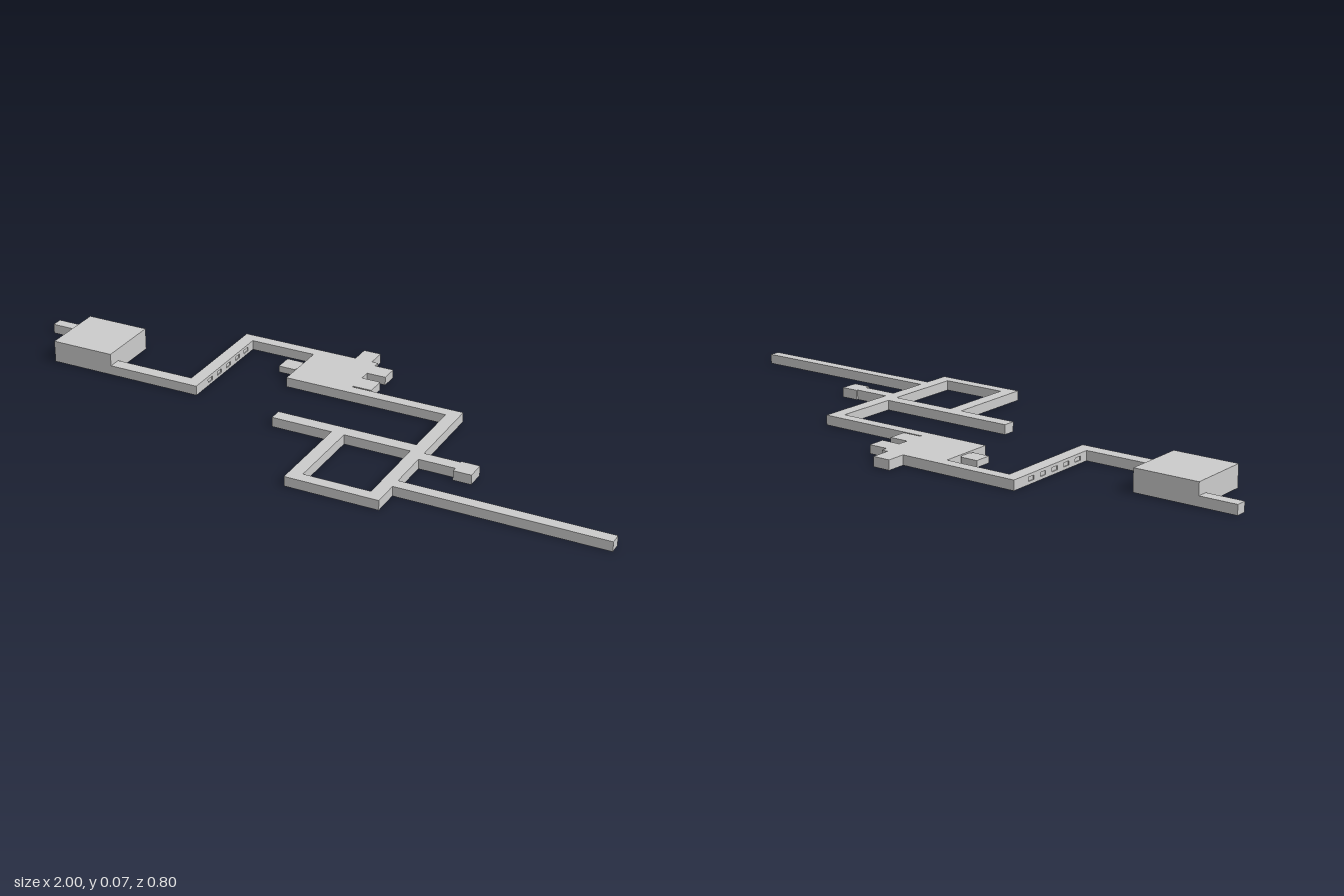
import * as THREE from 'three';

const grey = new THREE.MeshStandardMaterial({ color: 0xcccccc, flatShading: true });
const H = 0.03; // passage height

// Axis-aligned block given by its plan limits and height range
function block(parent, name, x0, x1, z0, z1, top = H, bottom = 0) {
  const mesh = new THREE.Mesh(new THREE.BoxGeometry(x1 - x0, top - bottom, z1 - z0), grey);
  mesh.position.set((x0 + x1) / 2, (top + bottom) / 2, (z0 + z1) / 2);
  mesh.name = name;
  parent.add(mesh);
}

function section(parent, name) {
  const group = new THREE.Group();
  group.name = name;
  parent.add(group);
  return group;
}

export function createModel() {
  const model = new THREE.Group();
  model.name = 'floorLayout';

  // Entrance, tall hall and the passage leading out of it
  const west = section(model, 'westWing');
  block(west, 'entrancePassage', -1, -0.885, -0.16, -0.125);
  block(west, 'tallHall', -0.885, -0.685, -0.16, 0.04, 0.068);
  block(west, 'hallPassage', -0.685, -0.43, 0, 0.04);

  // Gallery with shallow window recesses on both sides
  const gallery = section(model, 'windowGallery');
  block(gallery, 'galleryCore', -0.427, -0.393, -0.305, 0);
  block(gallery, 'galleryFrontCorner', -0.43, -0.39, 0, 0.04);
  for (const [x0, x1] of [[-0.43, -0.427], [-0.393, -0.39]]) {
    block(gallery, 'sill', x0, x1, -0.305, 0, 0.009);
    block(gallery, 'lintel', x0, x1, -0.305, 0, H, 0.021);
    for (let i = 0; i < 6; i++) {
      const z = -0.305 + i * 0.055;
      block(gallery, 'pier', x0, x1, z, z + 0.03, 0.021, 0.009);
    }
  }
  block(gallery, 'northPassage', -0.43, -0.18, -0.34, -0.305);

  // Central room with its small side chambers
  const centre = section(model, 'centralRoom');
  block(centre, 'mainRoom', -0.18, 0.02, -0.34, -0.13);
  block(centre, 'backChamber', -0.055, 0, -0.4, -0.34);
  block(centre, 'leftUpperChamber', 0.02, 0.08, -0.32, -0.265, H, 0.004);
  block(centre, 'leftLowerChamber', 0.02, 0.08, -0.23, -0.17, H, 0.004);
  block(centre, 'rightChamber', -0.24, -0.185, -0.25, -0.195, 0.026, 0.006);
  block(centre, 'rightChamberDoor', -0.185, -0.18, -0.243, -0.203, 0.026, 0.006);

  // Passages and square loop of the east wing
  const east = section(model, 'eastWing');
  block(east, 'roomPassage', 0.02, 0.335, -0.165, -0.13);
  block(east, 'mainPassage', 0.335, 0.375, -0.165, 0.395);
  block(east, 'crossPassage', -0.1, 0.335, 0.07, 0.11);
  block(east, 'loopSide', 0.09, 0.13, 0.11, 0.395);
  block(east, 'loopFront', 0.13, 0.335, 0.36, 0.395);
  block(east, 'branchPassage', 0.375, 0.485, 0.105, 0.143);
  block(east, 'branchChamber', 0.485, 0.54, 0.1, 0.158);
  block(east, 'exitPassage', 0.375, 1, 0.275, 0.31);

  return model;
}
